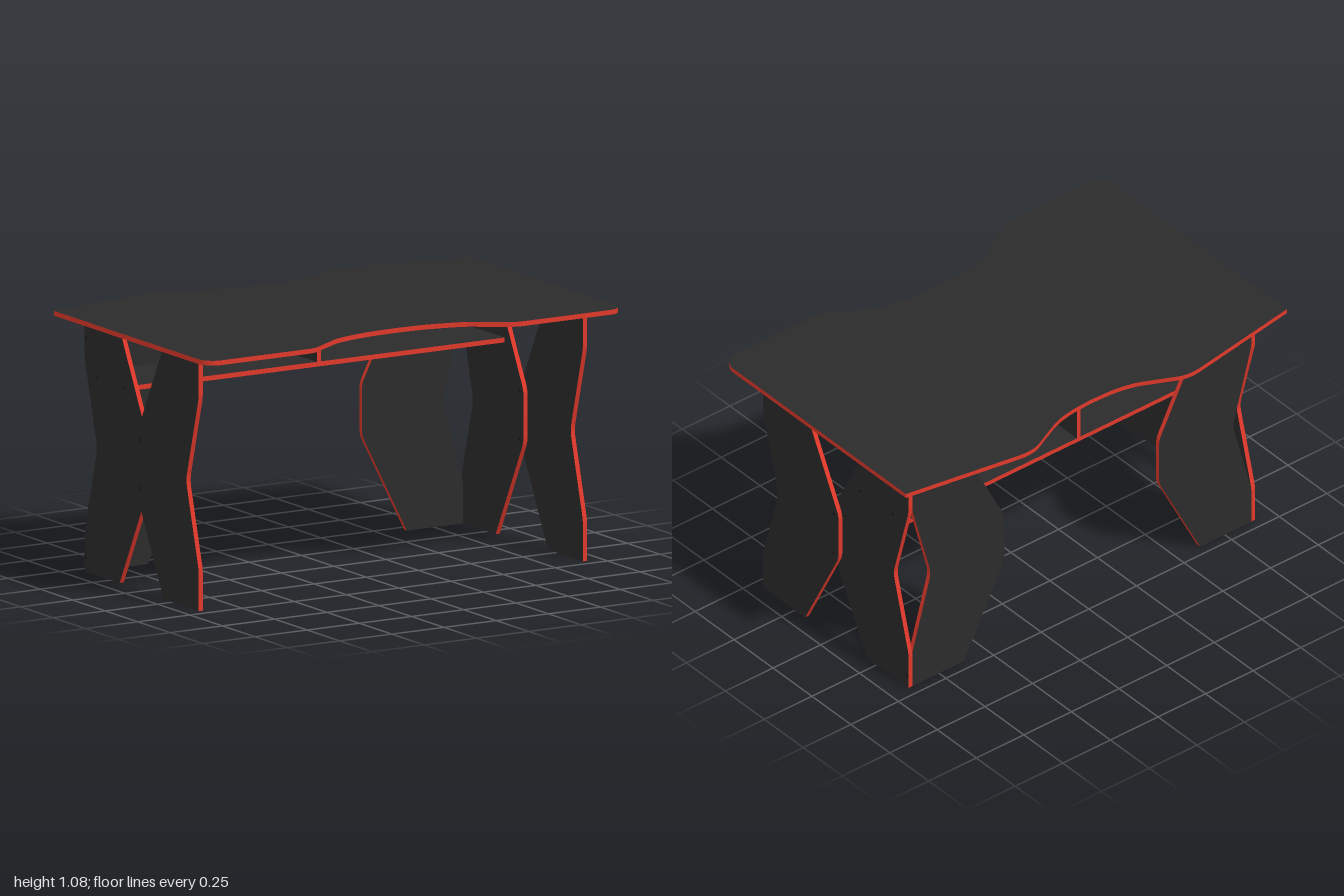
import * as THREE from 'three';
import { toCreasedNormals } from 'three/addons/utils/BufferGeometryUtils.js';

const T = 0.02; // board thickness
const H = 1.055; // underside of the desktop

const faceMat = new THREE.MeshStandardMaterial({ color: 0x2b2b2b });
const edgeMat = new THREE.MeshStandardMaterial({ color: 0xe0382a });
const boltMat = new THREE.MeshStandardMaterial({ color: 0x1c1c1c });

// Flat board cut from a shape: dark faces, red edge banding, centred on its thickness
function board(name, shape) {
  let geo = new THREE.ExtrudeGeometry(shape, { depth: T, bevelEnabled: false, curveSegments: 10 });
  geo.translate(0, 0, -T / 2);
  geo = toCreasedNormals(geo, 0.35);
  const mesh = new THREE.Mesh(geo, [faceMat, edgeMat]);
  mesh.name = name;
  return mesh;
}

function rectangle(x0, y0, x1, y1) {
  return new THREE.Shape([[x0, y0], [x1, y0], [x1, y1], [x0, y1]].map(([x, y]) => new THREE.Vector2(x, y)));
}

// Right half of the desktop outline (x, -z), mirrored to make the whole
function desktopShape() {
  const v = (x, z) => new THREE.Vector2(x, -z);
  const p = new THREE.Path();
  p.moveTo(0, -0.472);
  p.splineThru([v(0.14, 0.48), v(0.29, 0.514), v(0.36, 0.553), v(0.44, 0.604)]);
  p.quadraticCurveTo(0.475, -0.632, 0.515, -0.632);
  p.lineTo(0.93, -0.632);
  p.absarc(0.93, -0.562, 0.07, -Math.PI / 2, 0, false);
  p.lineTo(1, 0.548);
  p.lineTo(0.48, 0.634);
  p.quadraticCurveTo(0.42, 0.645, 0.37, 0.627);
  p.splineThru([v(0.27, -0.579), v(0.2, -0.549), v(0.11, -0.53), v(0, -0.524)]);
  const half = p.getPoints(8);
  const mirrored = half.slice(1, -1).reverse().map((q) => new THREE.Vector2(-q.x, q.y));
  return new THREE.Shape([...half, ...mirrored]);
}

// Kinked leg panel; x runs inward from the outer corner
function legShape() {
  const s = new THREE.Shape();
  s.moveTo(0, 0);
  s.lineTo(0.27, 0);
  s.lineTo(0.472, 0.395);
  s.quadraticCurveTo(0.485, 0.42, 0.485, 0.45);
  s.lineTo(0.485, H - 0.45);
  s.quadraticCurveTo(0.485, H - 0.42, 0.472, H - 0.395);
  s.lineTo(0.27, H);
  s.lineTo(0, H);
  s.lineTo(0, H - 0.145);
  s.quadraticCurveTo(0, H - 0.17, 0.007, H - 0.195);
  s.lineTo(0.089, 0.56);
  s.quadraticCurveTo(0.098, H / 2, 0.089, 0.495);
  s.lineTo(0.007, 0.195);
  s.quadraticCurveTo(0, 0.17, 0, 0.145);
  return s;
}

export function createModel() {
  const desk = new THREE.Group();
  desk.name = 'desk';

  const top = board('desktop', desktopShape());
  top.rotation.x = -Math.PI / 2;
  top.position.y = H + T / 2;
  desk.add(top);

  // Shelf under the rear of the desktop, with a central divider
  const shelf = board('shelf', rectangle(-0.89, 0.115, 0.89, 0.435));
  shelf.rotation.x = -Math.PI / 2;
  shelf.position.y = 0.82;
  const divider = board('shelfDivider', rectangle(0.115, 0.83, 0.435, H));
  divider.rotation.y = Math.PI / 2;
  desk.add(shelf, divider);

  // Each side: crossing front and rear side legs plus a rear panel at right angles
  const leg = legShape();
  for (const s of [-1, 1]) {
    const label = s > 0 ? 'left' : 'right';

    const front = board(label + 'FrontLeg', leg);
    front.rotation.y = Math.PI / 2;
    front.position.set(s * 0.92, 0, 0.455);

    const rear = board(label + 'RearSideLeg', leg);
    rear.rotation.y = -Math.PI / 2;
    rear.position.set(s * 0.9, 0, -0.455);

    const back = board(label + 'RearPanelLeg', leg);
    back.rotation.y = s > 0 ? Math.PI : 0;
    back.position.set(s * 0.89, 0, -0.445);
    desk.add(front, rear, back);

    // Fasteners: [y, z, centre x, length]
    const bolts = [
      [0.43, 0, 0.909, 0.044], [0.63, 0, 0.909, 0.044],
      [0.82, -0.145, 0.9, 0.022], [0.82, -0.355, 0.9, 0.022],
      [0.06, -0.445, 0.9, 0.022], [0.97, -0.445, 0.9, 0.022],
    ];
    for (const [y, z, x, length] of bolts) {
      const bolt = new THREE.Mesh(new THREE.CylinderGeometry(0.008, 0.008, length, 12), boltMat);
      bolt.name = label + 'Bolt';
      bolt.rotation.z = Math.PI / 2;
      bolt.position.set(s * x, y, z);
      desk.add(bolt);
    }
  }
  return desk;
}
